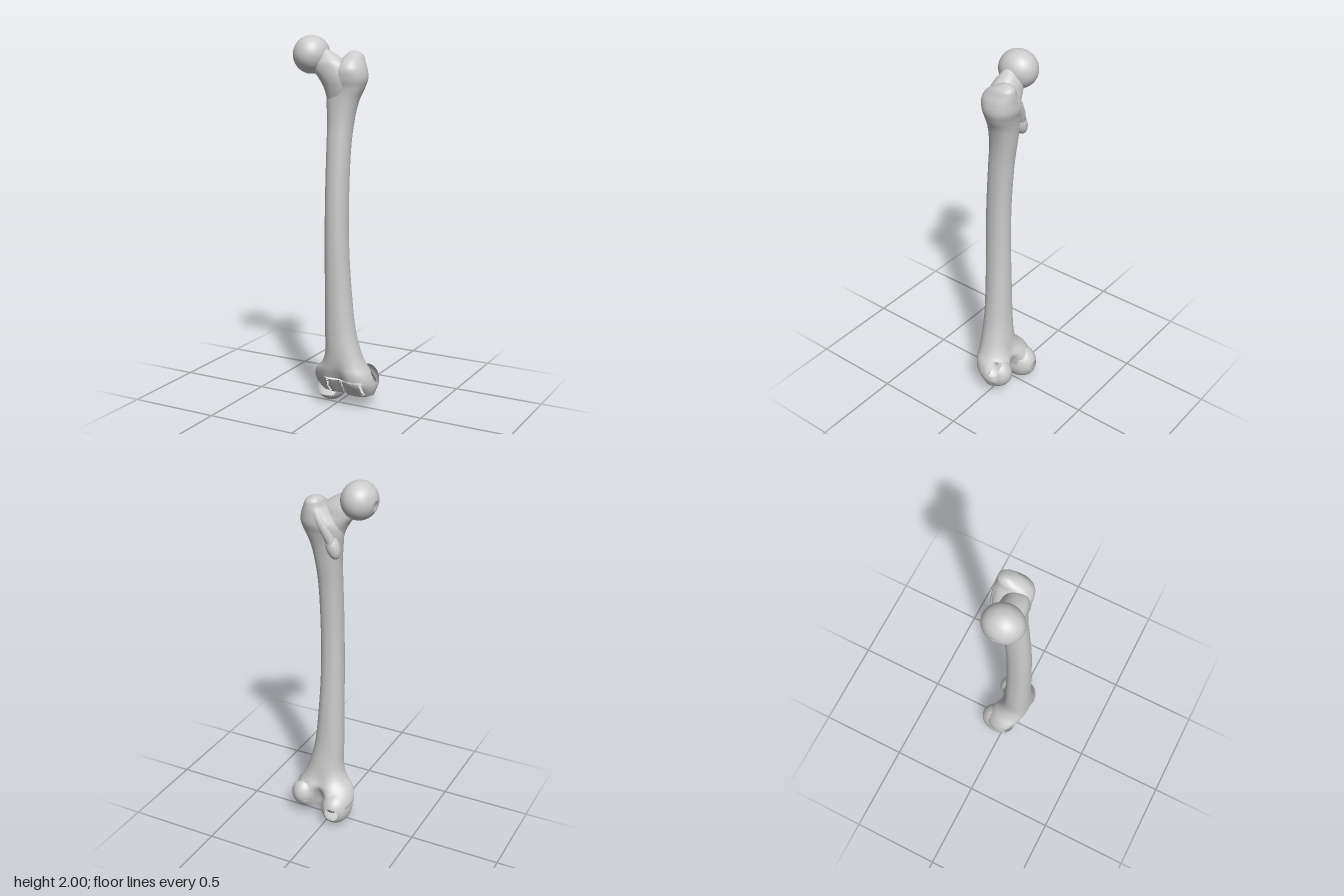
import * as THREE from 'three';

const mat = new THREE.MeshStandardMaterial({ color: 0xcccccc, side: THREE.DoubleSide });

function add(group, name, geometry) {
  const mesh = new THREE.Mesh(geometry, mat);
  mesh.name = name;
  group.add(mesh);
  return mesh;
}

const spline = (a, b, c, d, t) =>
  0.5 * (2 * b + (c - a) * t + (2 * a - 5 * b + 4 * c - d) * t * t + (3 * b - a - 3 * c + d) * t * t * t);

// Skin over horizontal sections [y, xMin, xMax, zMin, zMax, skew, backNotch, frontGroove], bottom to top
function loft(sections, steps = 10, sides = 64) {
  const pos = [], index = [];
  const rows = (sections.length - 1) * steps;
  for (let i = 0; i <= rows; i++) {
    const k = Math.min(Math.floor(i / steps), sections.length - 2), t = i / steps - k;
    const at = (n) => sections[Math.max(0, Math.min(sections.length - 1, n))];
    const [y, x0, x1, z0, z1, skew, notch, groove] = Array.from({ length: 8 }, (_, c) =>
      spline(at(k - 1)[c] ?? 0, at(k)[c] ?? 0, at(k + 1)[c] ?? 0, at(k + 2)[c] ?? 0, t));
    for (let j = 0; j < sides; j++) {
      const a = (j / sides) * Math.PI * 2, c = Math.cos(a), s = Math.sin(a);
      const x = (x0 + x1) / 2 + ((x1 - x0) / 2) * Math.sign(c) * Math.abs(c) ** 0.9;
      let z = (z0 + z1) / 2 + ((z1 - z0) / 2) * Math.sign(s) * Math.abs(s) ** 0.9;
      const middle = Math.exp(-(((x - 0.05) / 0.045) ** 2));
      z += s < 0 ? notch * middle * -s : (skew * (x - x1) - groove * middle) * s;
      pos.push(x, y, z);
      if (i < rows) {
        const p = i * sides + j, q = i * sides + ((j + 1) % sides);
        index.push(p, p + sides, q, q, p + sides, q + sides);
      }
    }
  }
  const g = new THREE.BufferGeometry();
  g.setAttribute('position', new THREE.Float32BufferAttribute(pos, 3));
  g.setIndex(index);
  g.computeVertexNormals();
  return g;
}

// Drop the triangles whose centre fails the test
function carve(g, keep) {
  const p = g.attributes.position, ids = g.index.array, kept = [];
  const v = new THREE.Vector3(), c = new THREE.Vector3();
  for (let i = 0; i < ids.length; i += 3) {
    c.set(0, 0, 0);
    for (let k = 0; k < 3; k++) c.add(v.fromBufferAttribute(p, ids[i + k]));
    c.divideScalar(3);
    if (keep(c)) kept.push(ids[i], ids[i + 1], ids[i + 2]);
  }
  g.setIndex(kept);
  return g;
}

function ellipsoid(center, radii, tilt = 0, detail = 32) {
  return new THREE.SphereGeometry(1, detail * 2, detail).scale(...radii).rotateZ(tilt).translate(...center);
}

export function createModel() {
  const bone = new THREE.Group();
  bone.name = 'thighBone';

  // Openings: round window in the outer side, another behind the inner condyle
  const inSideHole = (c) => c.x > 0.1 && Math.hypot(c.y - 0.185, c.z + 0.037) < 0.04;
  const inBackHole = (c) => c.z < -0.06 && Math.hypot(c.x + 0.06, c.y - 0.09) < 0.038;
  // Narrow seams round the front joint plates
  const inSeam = (c) => c.z > 0.02 && c.y < 0.17 &&
    ((c.y > 0.158 && c.x > -0.03 && c.x < 0.18) ||
      [-0.03, 0.06, 0.18].some((x) => Math.abs(c.x - x) < 0.006));

  // Flared lower end, bowed shaft and greater trochanter in one skin
  const shaft = loft([
    [0.07, -0.10, 0.205, -0.10, 0.06, 0.1, 0.10, 0.02],
    [0.11, -0.13, 0.22, -0.13, 0.10, 0.15, 0.12, 0.025],
    [0.15, -0.135, 0.22, -0.125, 0.13, 0.18, 0.09, 0.025],
    [0.20, -0.115, 0.205, -0.095, 0.135, 0.14, 0.03, 0.015],
    [0.25, -0.07, 0.175, -0.065, 0.125, 0.06, 0.01, 0.005],
    [0.32, -0.047, 0.148, -0.045, 0.12, 0.02],
    [0.45, -0.045, 0.118, -0.03, 0.118],
    [0.65, -0.043, 0.097, -0.022, 0.118],
    [0.90, -0.041, 0.083, -0.015, 0.12],
    [1.15, -0.04, 0.08, -0.018, 0.116],
    [1.40, -0.041, 0.082, -0.035, 0.10],
    [1.55, -0.045, 0.092, -0.055, 0.085],
    [1.66, -0.055, 0.115, -0.07, 0.08],
    [1.73, -0.06, 0.145, -0.085, 0.08],
    [1.78, -0.05, 0.16, -0.10, 0.09],
    [1.83, -0.015, 0.153, -0.10, 0.09],
    [1.87, 0.02, 0.135, -0.097, 0.065],
    [1.90, 0.035, 0.118, -0.09, 0.02],
    [1.918, 0.055, 0.085, -0.065, -0.025],
    [1.921, 0.07, 0.07, -0.045, -0.045],
  ]);
  add(bone, 'shaft', carve(shaft, (c) => !inSideHole(c) && !inSeam(c)));

  // Neck leaning out to the head
  add(bone, 'neck', loft([
    [1.66, -0.045, 0.06, -0.04, 0.07],
    [1.70, -0.054, 0.09, -0.05, 0.082],
    [1.74, -0.067, 0.10, -0.05, 0.092],
    [1.78, -0.09, 0.10, -0.05, 0.10],
    [1.82, -0.12, 0.085, -0.04, 0.103],
    [1.86, -0.13, 0.06, -0.03, 0.10],
    [1.89, -0.13, 0.025, -0.015, 0.085],
    [1.92, -0.12, -0.025, 0.005, 0.07],
    [1.94, -0.09, -0.06, 0.03, 0.05],
  ], 6, 48));

  // Ball head with a shallow pit on its inner side
  const head = ellipsoid([0, 0, 0], [0.095, 0.1, 0.106]);
  const hp = head.attributes.position, v = new THREE.Vector3();
  for (let i = 0; i < hp.count; i++) {
    v.fromBufferAttribute(hp, i);
    const d = Math.hypot(v.y + 0.02, v.z);
    if (v.x < 0 && d < 0.028) v.x += 0.014 * (1 - (d / 0.028) ** 2);
    hp.setXYZ(i, v.x, v.y, v.z);
  }
  head.computeVertexNormals();
  add(bone, 'head', head).position.set(-0.134, 1.9, 0.041);

  // Knob and ridge on the back of the upper end
  add(bone, 'lesserTrochanter', ellipsoid([-0.032, 1.665, -0.05], [0.036, 0.065, 0.036], -0.3, 16));
  add(bone, 'backRidge', new THREE.TubeGeometry(new THREE.CatmullRomCurve3([
    new THREE.Vector3(-0.03, 1.68, -0.055), new THREE.Vector3(0.0, 1.75, -0.07),
    new THREE.Vector3(0.04, 1.82, -0.075), new THREE.Vector3(0.07, 1.88, -0.06),
  ]), 24, 0.026, 16));

  // Hollow condyles, open where they meet the lower end
  const shell = (c) => (c.y < 0.12 || c.z < -0.08) && !inSideHole(c) && !inBackHole(c) &&
    !(c.z > 0.035 && c.y > 0.05);
  add(bone, 'innerCondyle', carve(ellipsoid([-0.052, 0.1, -0.037], [0.083, 0.1, 0.108]), shell));
  add(bone, 'outerCondyle', carve(ellipsoid([0.15, 0.145, -0.025], [0.075, 0.092, 0.1]), shell));

  return bone;
}
